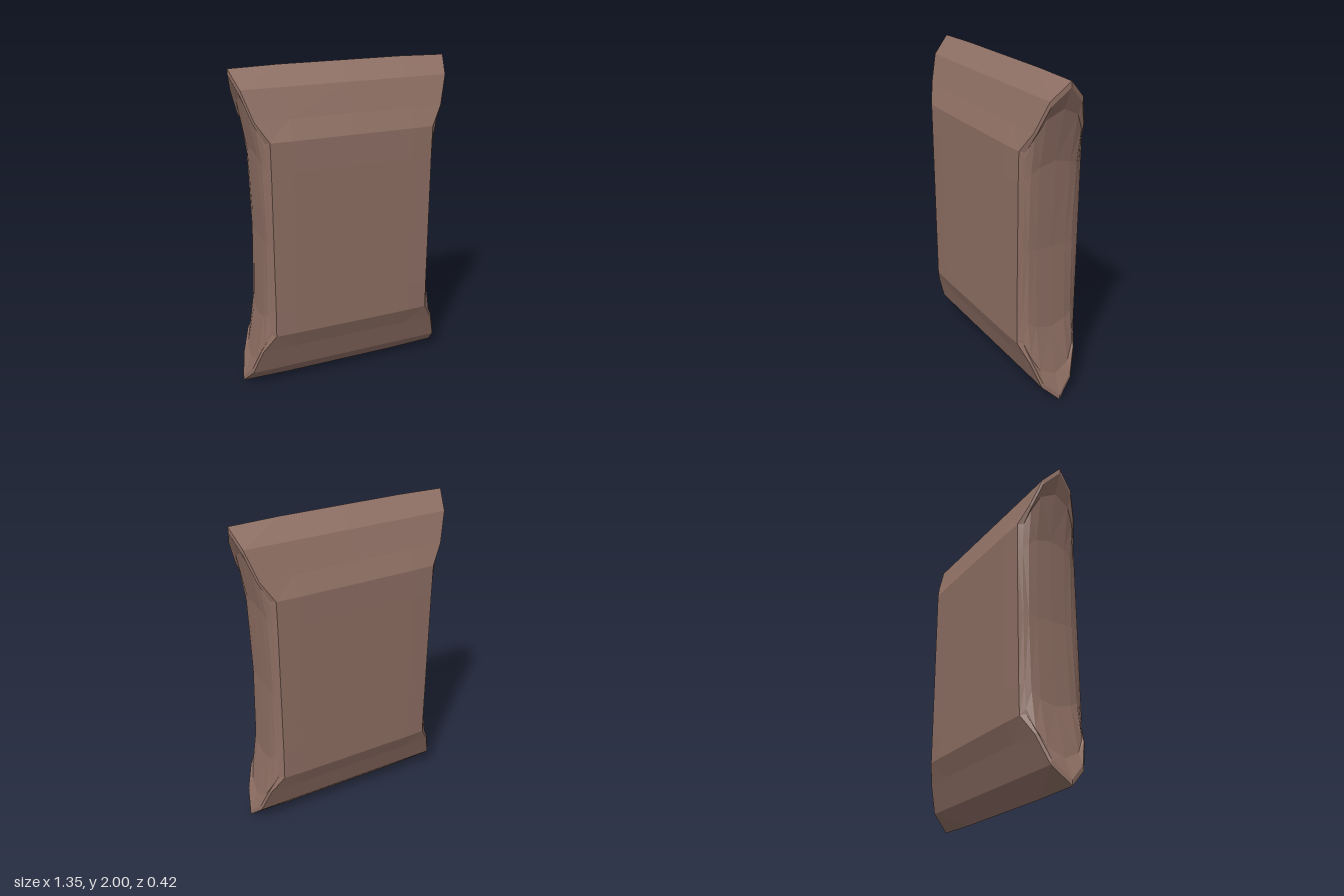
import * as THREE from 'three';

// All points describe one octant (+x, +y, +z) as [x, height above the middle, z].
// Outer profile: the seam at the top, then over the shoulder to the middle.
const rim = [
  [0.677, 0.993, 0], [0.64, 0.89, 0.105], [0.585, 0.72, 0.163],
  [0.512, 0.605, 0.207], [0.51, 0.42, 0.208], [0.51, 0, 0.208],
];

// Dished end: rows run from the rim down to the middle, columns from z = 0 outward.
const dish = [
  [rim[0], rim[1], rim[2], rim[3], rim[3]],
  [[0.677, 0.96, 0], [0.642, 0.86, 0.1], [0.593, 0.71, 0.152], [0.535, 0.6, 0.18], rim[3]],
  [[0.622, 0.835, 0], [0.608, 0.785, 0.1], [0.578, 0.69, 0.15], [0.536, 0.57, 0.18], rim[3]],
  [[0.56, 0.53, 0], [0.556, 0.505, 0.1], [0.546, 0.47, 0.15], [0.527, 0.43, 0.18], rim[4]],
  [[0.54, 0, 0], [0.537, 0, 0.1], [0.533, 0, 0.15], [0.522, 0, 0.18], rim[5]],
];

// Broad face: rim, a line near the edge, and the centre line, with a slight swell.
const face = rim.map(([x, y, z], i) => {
  const swell = i > 2 ? 0.004 : 0;
  const top = i === 0 ? 1 : y;
  return [[0, top, z + swell], [0.38, top, z + swell], [x, y, z]];
});

// Turns a grid of points into flat-shaded faces, mirrored by the given signs.
function gridGeometry(grid, signs) {
  const pos = [];
  const put = (p) => pos.push(p[0] * signs[0], 1 + p[1] * signs[1], p[2] * signs[2]);
  const flip = signs[0] * signs[1] * signs[2] < 0;
  const tri = (a, b, c) => (flip ? [a, c, b] : [a, b, c]).forEach(put);
  for (let i = 0; i < grid.length - 1; i++) {
    for (let j = 0; j < grid[i].length - 1; j++) {
      const a = grid[i][j], b = grid[i][j + 1], c = grid[i + 1][j + 1], d = grid[i + 1][j];
      if (a !== b) tri(a, c, b);
      if (c !== d && b !== c) tri(a, d, c);
      else if (b === c) tri(a, d, b);
    }
  }
  const geometry = new THREE.BufferGeometry();
  geometry.setAttribute('position', new THREE.Float32BufferAttribute(pos, 3));
  geometry.computeVertexNormals();
  return geometry;
}

export function createModel() {
  const model = new THREE.Group();
  model.name = 'pillowBlock';
  const brown = new THREE.MeshStandardMaterial({ color: 0x8d6e63 });
  brown.name = 'warm brown';

  // The dish grid runs outward in z, so its columns are reversed to face +x.
  const end = dish.map((row) => [...row].reverse());
  const parts = { broadFace: face, dishedEnd: end };

  for (const [name, grid] of Object.entries(parts)) {
    const group = new THREE.Group();
    group.name = name + 's';
    for (const x of [1, -1]) for (const y of [1, -1]) for (const z of [1, -1]) {
      const mesh = new THREE.Mesh(gridGeometry(grid, [x, y, z]), brown);
      mesh.name = `${name} ${x > 0 ? 'left' : 'right'} ${y > 0 ? 'upper' : 'lower'} ${z > 0 ? 'front' : 'back'}`;
      group.add(mesh);
    }
    model.add(group);
  }
  return model;
}
